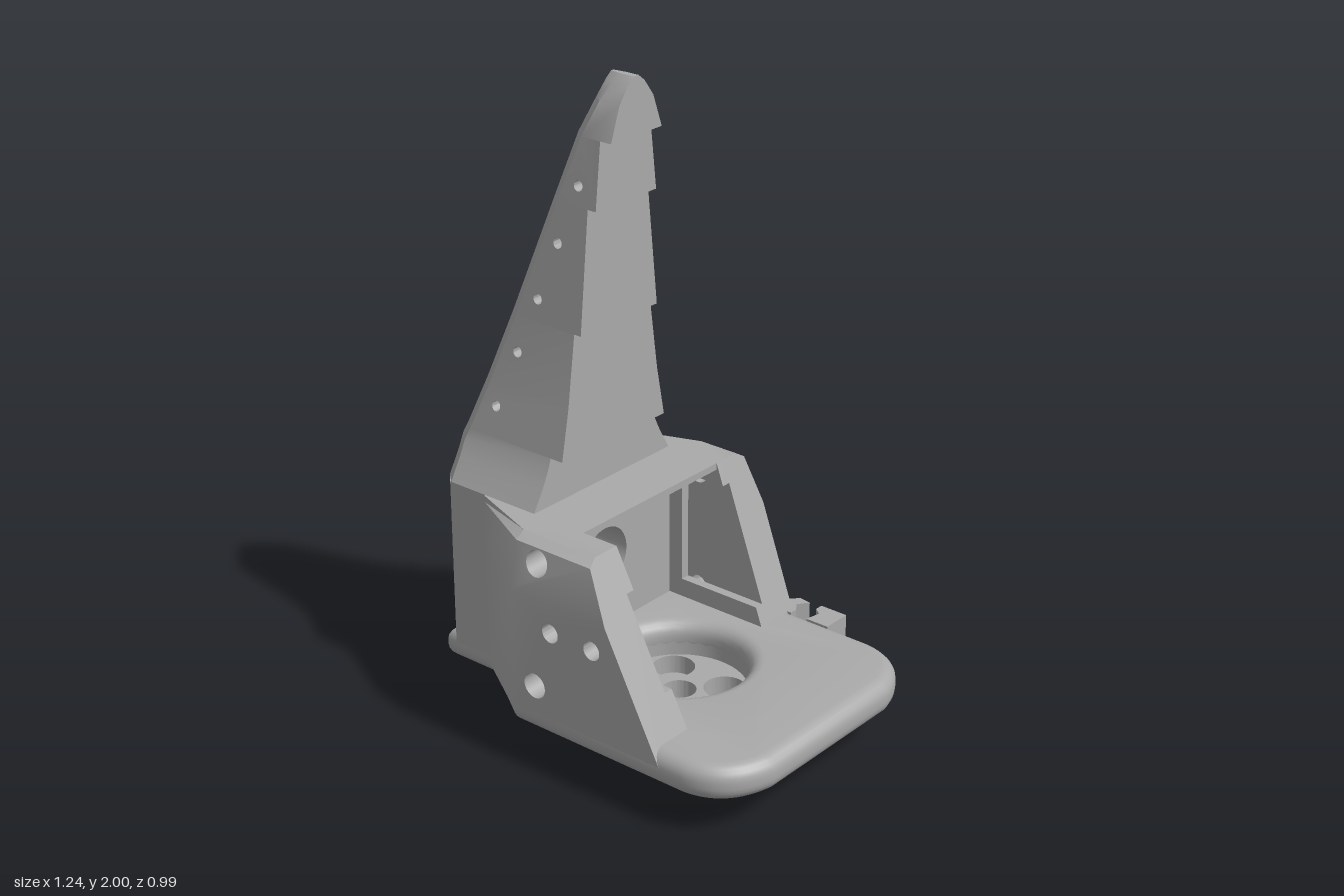
import * as THREE from 'three';
import { mergeGeometries, toCreasedNormals } from 'three/addons/utils/BufferGeometryUtils.js';

const grey = new THREE.MeshStandardMaterial({ color: 0xaaaaaa });
grey.name = 'grey plastic';
const MID = 0.0325; // z of the centre plane of the column and spine

function shapeOf(points, holes = []) {
  const s = new THREE.Shape(points.map(([x, y]) => new THREE.Vector2(x, y)));
  for (const [x, y, r] of holes) s.holes.push(new THREE.Path().absarc(x, y, r, 0, Math.PI * 2));
  return s;
}

// Side profile in x/y, filled between two surfaces z = lo(x, y) and z = hi(x, y)
function slab(points, holes, lo, hi) {
  const g = new THREE.ExtrudeGeometry(shapeOf(points, holes), { depth: 1, bevelEnabled: false, curveSegments: 16 });
  const p = g.attributes.position;
  for (let i = 0; i < p.count; i++) {
    const x = p.getX(i), y = p.getY(i);
    p.setZ(i, p.getZ(i) > 0.5 ? hi(x, y) : lo(x, y));
  }
  g.computeVertexNormals();
  return g;
}

// Plan outline given as x/z, raised from y0 to y1
function plan(shape, y0, y1, options = {}) {
  const g = new THREE.ExtrudeGeometry(shape, { depth: y1 - y0, bevelEnabled: false, curveSegments: 32, ...options });
  return g.rotateX(-Math.PI / 2).translate(0, y0, 0);
}
const planPoints = (pts, holes) => shapeOf(pts.map(([x, z]) => [x, -z]), holes);
const disc = (x, z, r) => new THREE.Shape().absarc(x, -z, r, 0, Math.PI * 2);

export function createModel() {
  const group = new THREE.Group();
  const add = (name, ...geos) => {
    const g = geos.length > 1 ? mergeGeometries(geos.map((a) => (a.index ? a.toNonIndexed() : a))) : geos[0];
    const m = new THREE.Mesh(toCreasedNormals(g, 0.6), grey);
    m.name = name;
    group.add(m);
  };

  // Base plate with rounded rim and a conical round opening
  const cx = 0.05, cz = 0.0325;
  const base = new THREE.Shape();
  base.moveTo(-0.62, 0.27);
  base.lineTo(-0.62, -0.335);
  base.lineTo(-0.43, -0.335);
  base.lineTo(-0.2, -0.49);
  base.lineTo(0.43, -0.49);
  base.quadraticCurveTo(0.585, -0.475, 0.62, -0.3);
  base.lineTo(0.62, 0.24);
  base.quadraticCurveTo(0.585, 0.405, 0.43, 0.42);
  base.lineTo(-0.19, 0.42);
  base.lineTo(-0.42, 0.27);
  base.holes.push(new THREE.Path().absarc(cx, -cz, 0.21, 0, Math.PI * 2));
  const rim = 0.045;
  add('basePlate', plan(base, 0.12 + rim, 0.23 - rim, {
    bevelEnabled: true, bevelThickness: rim, bevelSize: rim, bevelOffset: -rim, bevelSegments: 5, curveSegments: 16,
  }));

  // Round hub below the plate: small holes underneath, wide counterbores above
  const hub = (y0, y1, r, holes) => {
    const s = disc(cx, cz, r);
    for (const [x, z, hr] of holes) s.holes.push(new THREE.Path().absarc(cx + x, -cz - z, hr, 0, Math.PI * 2));
    return plan(s, y0, y1);
  };
  const around = (r) => [[-1, -1], [-1, 1], [1, -1], [1, 1]].map(([a, b]) => [a * 0.1, b * 0.095, r]);
  add('hub',
    hub(0, 0.06, 0.227, [[0, 0, 0.052], ...around(0.032)]),
    hub(0.06, 0.12, 0.227, [[0, 0, 0.052], ...around(0.065)]),
    hub(0.12, 0.17, 0.26, [[0, 0, 0.21]]));

  // Rear column with a bore through it, back edges chamfered
  const column = [];
  for (const [x0, x1, inset] of [[-0.62, -0.585, 0.035], [-0.585, -0.24, 0]]) {
    const g = new THREE.ExtrudeGeometry(
      shapeOf([[-0.3025, 0.165], [0.3025, 0.165], [0.3025, 0.73], [-0.3025, 0.73]], [[0, 0.47, 0.097]]),
      { depth: x1 - x0, bevelEnabled: false, curveSegments: 24 });
    const p = g.attributes.position;
    for (let i = 0; i < p.count; i++) {
      const a = p.getX(i);
      if (Math.abs(a) > 0.2 && p.getZ(i) < 1e-6) p.setX(i, a - Math.sign(a) * inset);
    }
    g.computeVertexNormals();
    column.push(g.rotateY(Math.PI / 2).translate(x0, 0, MID));
  }
  // rotateY sends the profile's x to -z, which is harmless as it is symmetric
  add('column', ...column);

  add('roof', new THREE.BoxGeometry(0.205, 0.022, 0.605).translate(-0.1575, 0.719, MID));

  // Side walls: sloped front edge, tapered top, notched lining inside, screw holes
  const thick = (y) => (y <= 0.56 ? 0.155 : y <= 0.71 ? 0.155 - (y - 0.56) * 0.2 : 0.125 - (y - 0.71) * 1.6);
  function wall(name, side, inner, topX, run, bendX, notch, holes) {
    const edge = (y) => topX + ((0.73 - y) / 0.5) * run;
    const between = (points, h, u0, u1) => {
      const a = (x, y) => inner + side * u0(x, y), b = (x, y) => inner + side * u1(x, y);
      return side > 0 ? slab(points, h, a, b) : slab(points, h, b, a);
    };
    const skin = () => 0.03, back = -0.44;
    const geos = [];
    for (const [y0, y1] of [[0.165, 0.56], [0.56, 0.71], [0.71, 0.73]]) {
      geos.push(between([[bendX, y0], [edge(y0), y0], [edge(y1), y1], [bendX, y1]],
        holes.filter((h) => h[1] > y0 && h[1] < y1), skin, (x, y) => thick(y)));
      geos.push(between([[back, y0], [bendX, y0], [bendX, y1], [back, y1]], [], () => 0,
        (x, y) => 0.005 + ((thick(y) - 0.005) * (x - back)) / (bendX - back)));
    }
    const [n0, n1] = notch;
    geos.push(between([[-0.24, 0.165], [edge(0.165), 0.165], [edge(n0), n0], [-0.2, n0], [-0.2, n1],
      [edge(n1), n1], [edge(0.73), 0.73], [-0.24, 0.73]], [], () => 0, skin));
    add(name, ...geos);
  }
  wall('leftWall', 1, 0.335, 0.07, 0.26, -0.2, [0.34, 0.61],
    [[-0.115, 0.665, 0.04], [-0.115, 0.275, 0.04], [-0.05, 0.47, 0.03], [0.107, 0.47, 0.03]]);
  wall('rightWall', -1, -0.27, -0.055, 0.18, -0.19, [0.29, 0.66],
    [[-0.15, 0.66, 0.034], [-0.15, 0.27, 0.034]]);

  // Spine: bands [y, half width, front x], tapering to the tip, with cross holes
  const bands = [
    [0.73, 0.303, -0.245], [0.8, 0.262, -0.245], [0.85, 0.238, -0.245], [0.88, 0.228, -0.2],
    [1.04, 0.197, -0.2], [1.26, 0.167, -0.175], [1.63, 0.13, -0.145], [1.83, 0.108, -0.105],
    [1.93, 0.072, -0.105], [1.98, 0.035, -0.105], [2.0, 0.01, -0.105],
  ];
  const crossHoles = [[-0.475, 0.975], [-0.41, 1.155], [-0.345, 1.33], [-0.28, 1.51], [-0.215, 1.69]];
  const rear = (y) => (y <= 0.85 ? -0.62 : -0.62 + (y - 0.85) * 0.372);
  const C = 0.04;
  const spine = [];
  for (let i = 0; i < bands.length - 1; i++) {
    const [y0, w0, front] = bands[i], [y1, w1] = bands[i + 1];
    const w = (y) => w0 + ((w1 - w0) * (y - y0)) / (y1 - y0);
    const r0 = rear(y0), r1 = rear(y1);
    const holes = crossHoles.filter((h) => h[1] > y0 && h[1] < y1).map(([x, y]) => [x, y, 0.016]);
    spine.push(slab([[r0 + C, y0], [front, y0], [front, y1], [r1 + C, y1]], holes,
      (x, y) => MID - w(y), (x, y) => MID + w(y)));
    // chamfered rear strip
    const cw = (x, y) => w(y) - Math.min(0.035, w(y) * 0.5) * (1 - (x - rear(y)) / C);
    spine.push(slab([[r0, y0], [r0 + C, y0], [r1 + C, y1], [r1, y1]], [],
      (x, y) => MID - cw(x, y), (x, y) => MID + cw(x, y)));
  }
  add('spine', ...spine);

  // Cable clip hooks on the right edge
  add('clip',
    plan(planPoints([[0.03, -0.4], [0.03, -0.42], [0.105, -0.495], [0.145, -0.49], [0.12, -0.455], [0.14, -0.425], [0.14, -0.4]]), 0.12, 0.23),
    plan(planPoints([[0.2, -0.4], [0.21, -0.45], [0.185, -0.47], [0.185, -0.497], [0.28, -0.497], [0.28, -0.4]]), 0.12, 0.23));

  // Small foot under the right edge
  add('foot', slab([[-0.33, 0.13], [-0.33, 0.12], [-0.27, 0.06], [-0.2, 0.06], [-0.2, 0.13]], [],
    (x, y) => -0.37 - (y - 0.06) * 0.33, () => -0.27));

  return group;
}
